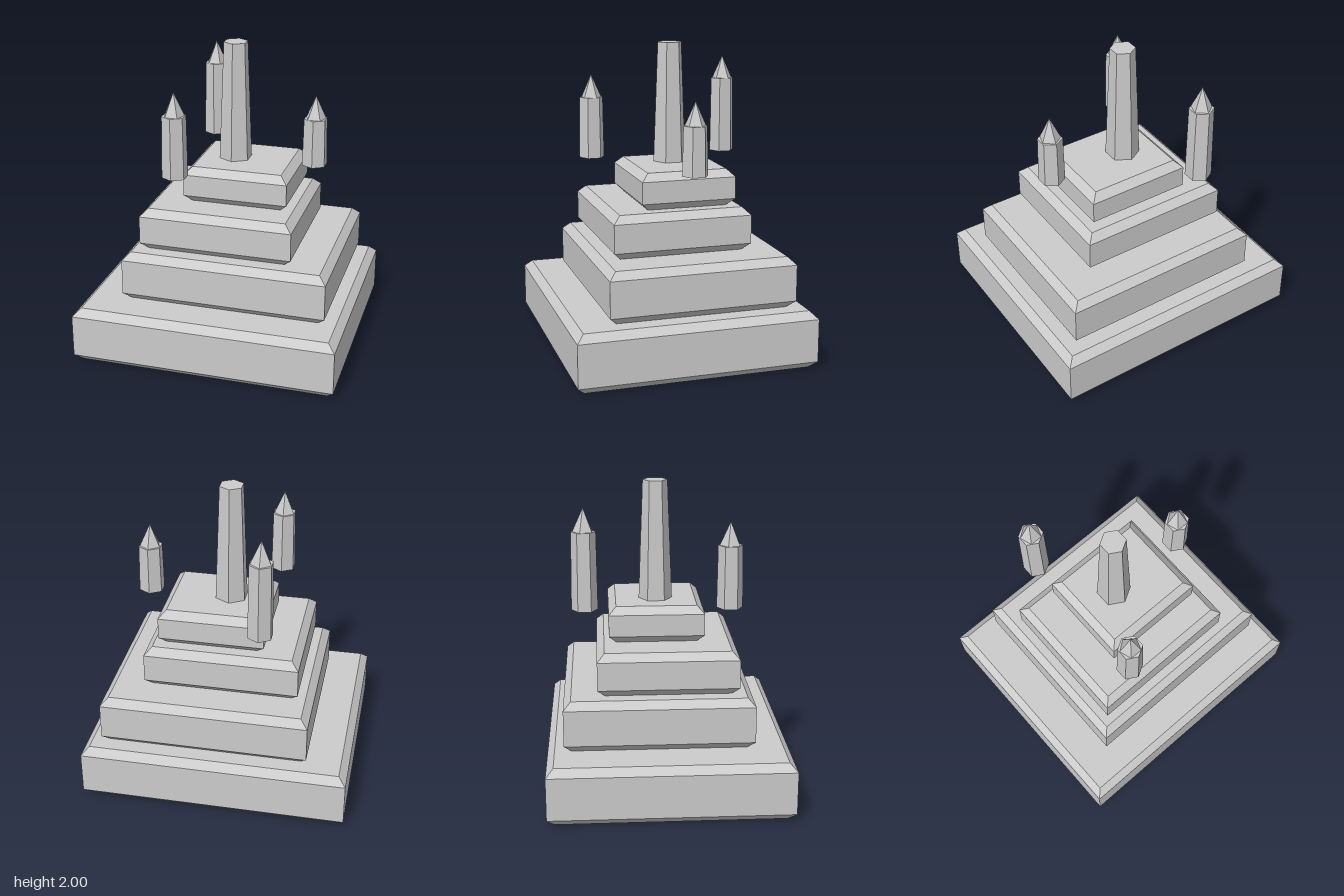
import * as THREE from 'three';

const material = new THREE.MeshStandardMaterial({ color: 0xcccccc, flatShading: true });
const BEVEL = 0.048;
const DECK = 1.222; // height of the top terrace

function addMesh(parent, name, geometry, x, y, z) {
  const mesh = new THREE.Mesh(geometry, material);
  mesh.name = name;
  mesh.position.set(x, y, z);
  parent.add(mesh);
  return mesh;
}

// Box whose top and bottom rims are chamfered while its upright corners stay sharp
function chamferedSlab(w, h, d) {
  const geometry = new THREE.BoxGeometry(w, h, d, 1, 3, 1);
  const p = geometry.attributes.position;
  for (let i = 0; i < p.count; i++) {
    const x = p.getX(i), y = p.getY(i), z = p.getZ(i);
    if (Math.abs(y) > h * 0.4) {
      p.setX(i, x - Math.sign(x) * BEVEL);
      p.setZ(i, z - Math.sign(z) * BEVEL);
    } else {
      p.setY(i, Math.sign(y) * (h / 2 - BEVEL));
    }
  }
  geometry.computeVertexNormals();
  return geometry;
}

export function createModel() {
  const model = new THREE.Group();
  model.name = 'steppedTower';

  // Terraces: x range, y range, z range
  const terraces = [
    [-0.86, 0.86, 0, 0.375, -0.773, 0.773],
    [-0.595, 0.745, 0.375, 0.705, -0.665, 0.543],
    [-0.5, 0.5, 0.705, 0.985, -0.45, 0.45],
    [-0.265, 0.418, 0.985, DECK, -0.37, 0.245],
  ];
  terraces.forEach(([x0, x1, y0, y1, z0, z1], i) => {
    addMesh(model, `terrace${i + 1}`, chamferedSlab(x1 - x0, y1 - y0, z1 - z0),
      (x0 + x1) / 2, (y0 + y1) / 2, (z0 + z1) / 2);
  });

  // Tapered six-sided central tower
  const towerHeight = 2 - DECK;
  addMesh(model, 'centralTower', new THREE.CylinderGeometry(0.08, 0.109, towerHeight, 6),
    0, DECK + towerHeight / 2, -0.06);

  // Floating turrets: x, z, shaft height
  const turrets = [
    [-0.267, 0.4, 0.403],
    [-0.267, -0.52, 0.5],
    [0.53, -0.06, 0.313],
  ];
  const roofHeight = 0.15;
  turrets.forEach(([x, z, height], i) => {
    const turret = new THREE.Group();
    turret.name = `turret${i + 1}`;
    turret.position.set(x, DECK, z);
    addMesh(turret, 'turretShaft', new THREE.CylinderGeometry(0.078, 0.084, height, 6), 0, height / 2, 0);
    // Five-sided pointed roof
    const roof = addMesh(turret, 'turretRoof', new THREE.ConeGeometry(0.068, roofHeight, 5),
      0, height + roofHeight / 2, 0);
    roof.rotation.y = Math.PI;
    model.add(turret);
  });

  return model;
}
